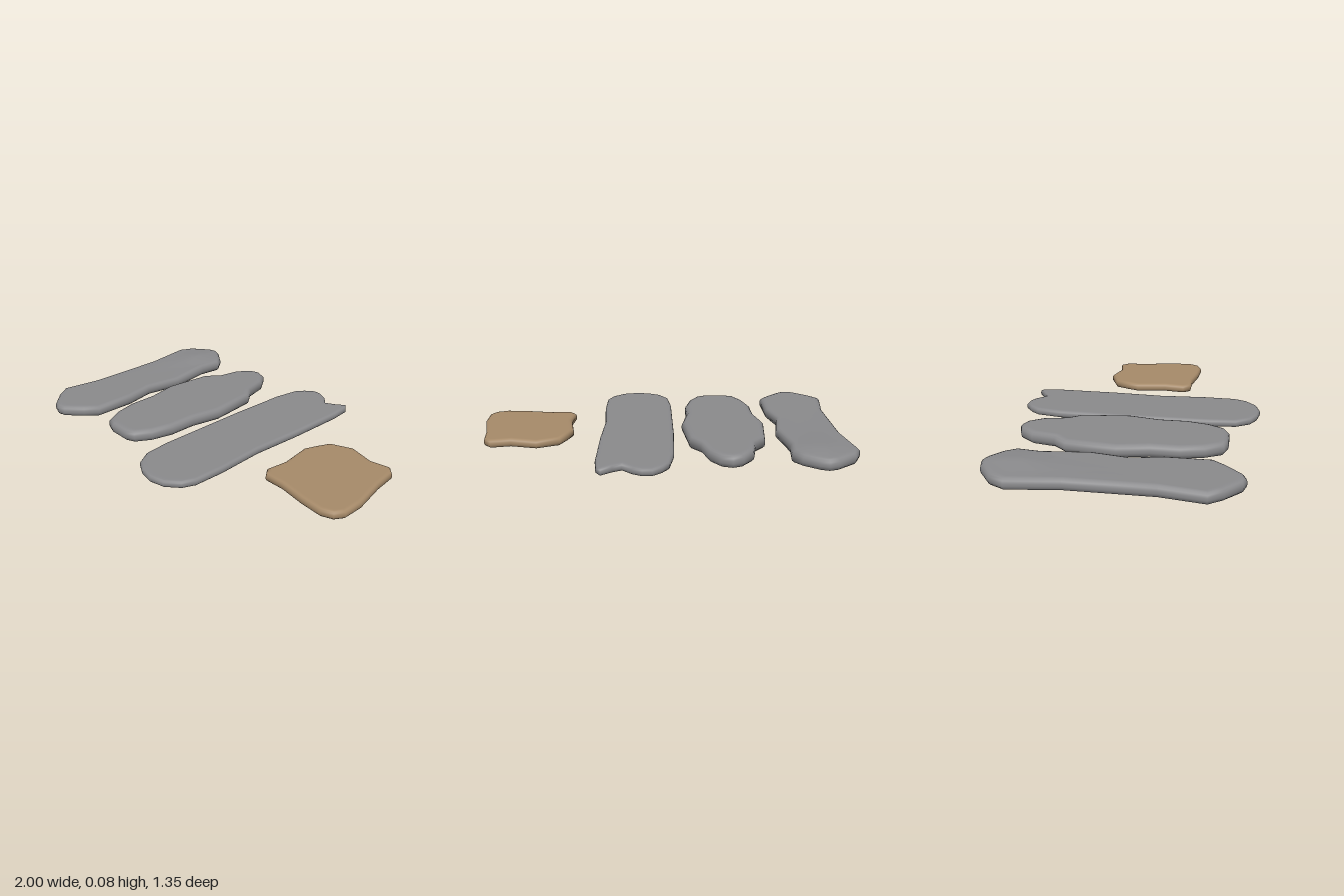
import * as THREE from 'three';

// Outlines as [x, z], clockwise seen from above
const longSlab = [[-.81, -.63], [-.765, -.615], [-.69, -.56], [-.645, -.5], [-.66, -.38], [-.625, -.14], [-.66, .06],
  [-.625, .22], [-.625, .45], [-.68, .52], [-.765, .6], [-.81, .615], [-.86, .6], [-.95, .52], [-1, .45],
  [-.965, .23], [-.965, -.2], [-1, -.46], [-.96, -.54], [-.86, -.615]];
const ovalSlab = [[-.345, -.585], [-.285, -.565], [-.23, -.49], [-.2, -.365], [-.145, -.295], [-.117, -.03], [-.15, .135],
  [-.15, .285], [-.18, .405], [-.23, .49], [-.285, .515], [-.4, .515], [-.46, .495], [-.51, .405], [-.54, .285],
  [-.54, .135], [-.575, -.03], [-.545, -.295], [-.485, -.365], [-.46, -.49], [-.4, -.565]];
const notchedSlab = [[.05, -.675], [.1, -.675], [.15, -.65], [.2, -.6], [.245, -.625], [.3, -.665], [.325, -.635],
  [.335, -.53], [.33, -.2], [.315, .08], [.33, .35], [.325, .52], [.295, .59], [.225, .65], [.14, .67], [.06, .655],
  [-.005, .62], [-.055, .54], [-.07, .4], [-.07, -.13], [-.06, -.45], [-.035, -.585], [0, -.635]];
const squareSlab = [[.66, -.285], [.8, -.25], [.905, -.27], [.945, -.23], [.96, -.1], [1, .085], [1, .2], [.97, .25],
  [.905, .275], [.78, .265], [.635, .24], [.525, .24], [.49, .195], [.505, .08], [.48, -.09], [.505, -.16], [.54, -.235]];

// Rounded slab: rings run from the bottom centre, around the rim, to the top centre
function slabGeometry(outline, height, bump) {
  const n = outline.length;
  const xs = outline.map(p => p[0]);
  const cx = (Math.min(...xs) + Math.max(...xs)) / 2;
  const rim = height * 0.4;
  // inset by d along the outline normal, then scale by k towards the centre
  const ring = (d, y, k = 1, top = false) => outline.map(([x, z], i) => {
    const a = outline[(i + n - 1) % n], b = outline[(i + 1) % n];
    const tx = b[0] - a[0], tz = b[1] - a[1], l = Math.hypot(tx, tz);
    const px = cx + (x - d * tz / l - cx) * k, pz = (z + d * tx / l) * k;
    return [px, y + (top ? bump(px, pz) : 0), pz];
  });
  const rings = [ring(rim * 1.3, 0, 0.5), ring(rim * 1.3, 0)];
  for (let s = 0; s <= 3; s++) {
    const a = s / 3 * Math.PI / 2;
    rings.push(ring(rim * (1 - Math.sin(a)), rim * (1 - Math.cos(a))));
  }
  for (let s = 0; s <= 3; s++) {
    const a = s / 3 * Math.PI / 2;
    rings.push(ring(rim * (1 - Math.cos(a)), height - rim * (1 - Math.sin(a)), 1, s > 1));
  }
  for (const k of [0.97, 0.85, 0.7, 0.5, 0.25]) rings.push(ring(rim * 1.1, height, k, true));

  const points = rings.flat();
  const index = [];
  for (let r = 0; r < rings.length - 1; r++) {
    for (let j = 0; j < n; j++) {
      const a = r * n + j, b = r * n + (j + 1) % n;
      index.push(a, a + n, b, b, a + n, b + n);
    }
  }
  // centre fans
  const bottom = points.push([cx, 0, 0]) - 1;
  const top = points.push([cx, height + bump(cx, 0), 0]) - 1;
  const last = (rings.length - 1) * n;
  for (let j = 0; j < n; j++) {
    const k = (j + 1) % n;
    index.push(bottom, j, k, last + j, top, last + k);
  }
  const g = new THREE.BufferGeometry();
  g.setAttribute('position', new THREE.Float32BufferAttribute(points.flat(), 3));
  g.setIndex(index);
  g.computeVertexNormals();
  return g;
}

export function createModel() {
  const stone = new THREE.MeshStandardMaterial({ color: 0x8a8a8c });
  stone.name = 'greyStone';
  const sand = new THREE.MeshStandardMaterial({ color: 0xa68a69 });
  sand.name = 'tanStone';

  const flat = () => 0;
  // gentle swelling near the back of the long slab
  const swell = (x, z) => 0.017 * Math.exp(-(((x + 0.8) / 0.11) ** 2) - ((z + 0.45) / 0.13) ** 2);

  const model = new THREE.Group();
  model.name = 'steppingStones';
  for (const [name, outline, height, bump, material] of [
    ['longSlab', longSlab, 0.061, swell, stone],
    ['ovalSlab', ovalSlab, 0.068, flat, stone],
    ['notchedSlab', notchedSlab, 0.04, flat, stone],
    ['squareSlab', squareSlab, 0.046, flat, sand],
  ]) {
    const mesh = new THREE.Mesh(slabGeometry(outline, height, bump), material);
    mesh.name = name;
    model.add(mesh);
  }
  return model;
}
